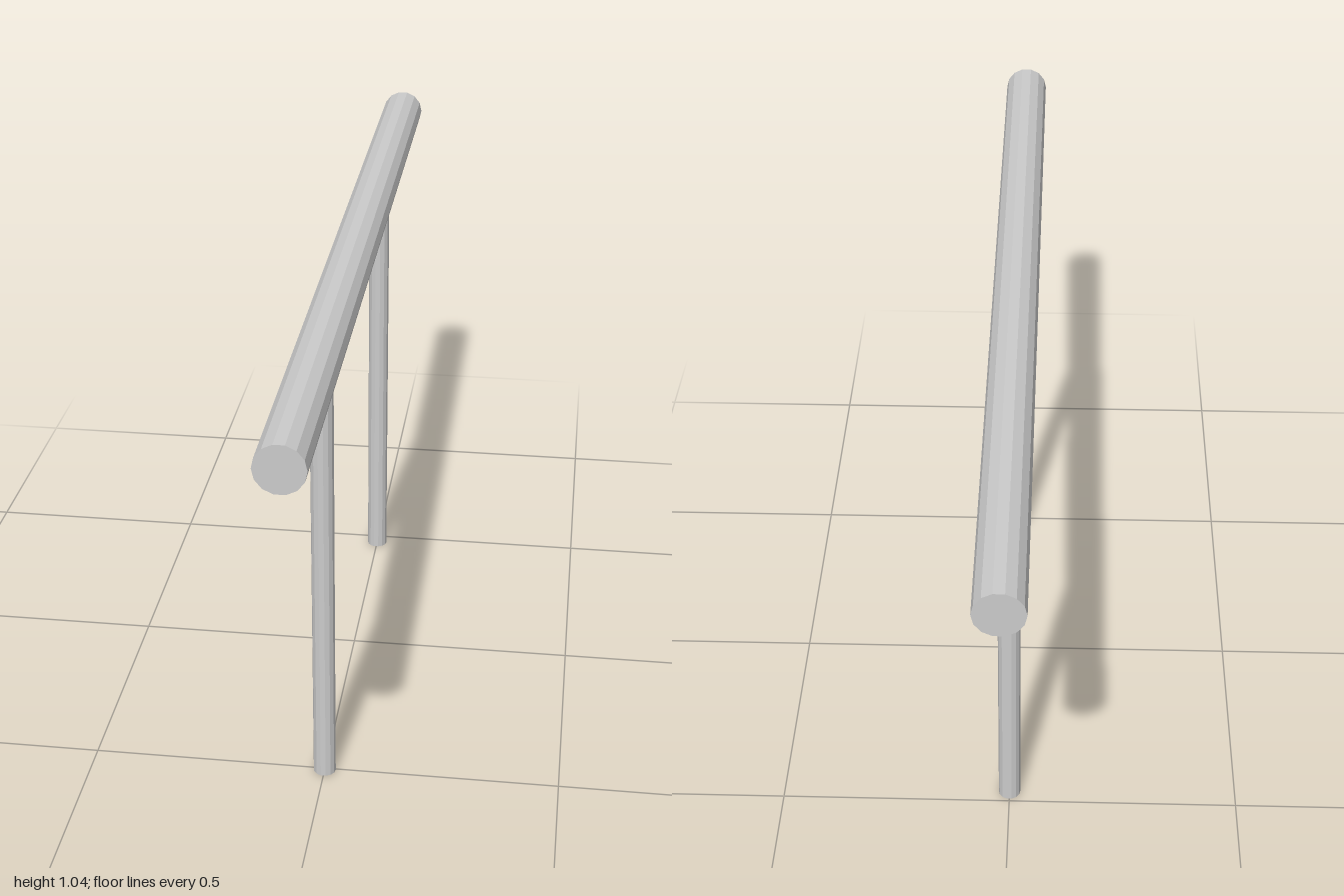
import * as THREE from 'three';

const SIDES = 14;

export function createModel() {
  const model = new THREE.Group();
  const material = new THREE.MeshStandardMaterial({ color: 0xcccccc, flatShading: true });

  // Capped rod with two of its edges on the x axis
  const rod = (name, radius, length) => {
    const geometry = new THREE.CylinderGeometry(radius, radius, length, SIDES, 1, false, Math.PI / 2);
    const mesh = new THREE.Mesh(geometry, material);
    mesh.name = name;
    model.add(mesh);
    return mesh;
  };

  // Horizontal rail running front to back
  const rail = rod('rail', 0.0485, 2);
  rail.rotation.x = Math.PI / 2;
  rail.position.y = 0.993;

  // Two upright posts under the rail
  const postHeight = 0.951;
  for (const [name, z] of [['frontPost', 0.503], ['backPost', -0.47]]) {
    rod(name, 0.0238, postHeight).position.set(0, postHeight / 2, z);
  }

  return model;
}
